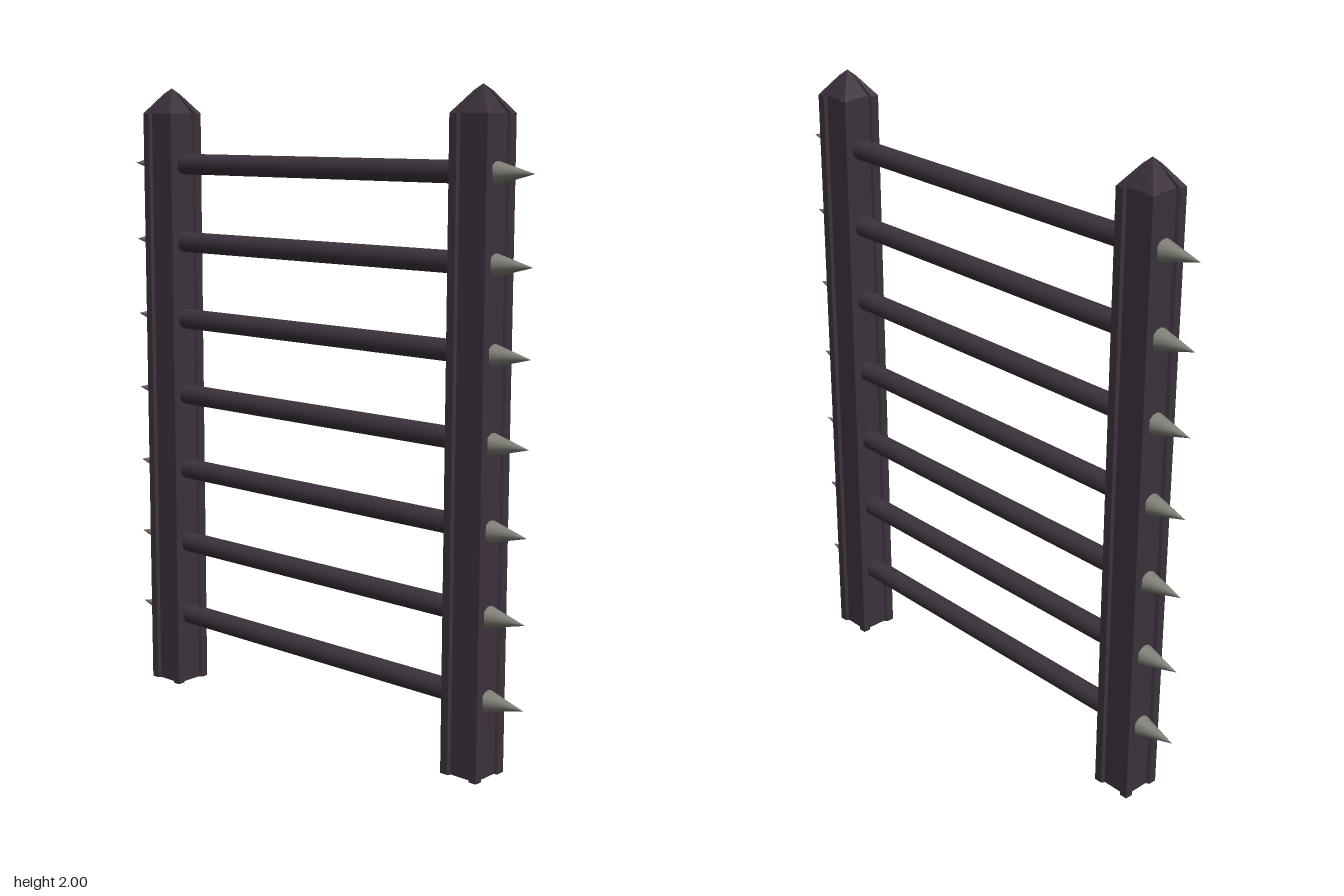
import * as THREE from 'three';

const darkWood = new THREE.MeshStandardMaterial({ color: 0x3c323c });
darkWood.name = 'darkWood';
const spikeMetal = new THREE.MeshStandardMaterial({ color: 0x7f7f76 });
spikeMetal.name = 'spikeMetal';

const HALF = 0.066, POST_Z = 0.637;

// Square outline with a shallow channel down the middle of every side
function grooveRing() {
  const side = [[HALF, -HALF], [HALF, -0.04], [0.055, -0.036], [0.055, 0.036], [HALF, 0.04]];
  const ring = [];
  for (let k = 0; k < 4; k++) {
    const c = Math.round(Math.cos(k * Math.PI / 2)), s = Math.round(Math.sin(k * Math.PI / 2));
    for (const [x, z] of side) ring.push([x * c - z * s, x * s + z * c]);
  }
  return ring;
}

// Loft the outline upwards and taper it into a blunt point
function postGeometry() {
  const ring = grooveRing(), n = ring.length;
  const levels = [[0, 0], [0, 1], [1.92, 1], [1.982, 0.28], [2, 0]]; // [height, scale]
  const pos = [];
  const put = (l, i) => {
    const [x, z] = ring[i % n], [y, s] = levels[l];
    pos.push(x * s, y, z * s);
  };
  for (let l = 0; l < levels.length - 1; l++) {
    for (let i = 0; i < n; i++) {
      if (levels[l][1] > 0) { put(l, i); put(l + 1, i); put(l, i + 1); }
      if (levels[l + 1][1] > 0) { put(l, i + 1); put(l + 1, i); put(l + 1, i + 1); }
    }
  }
  const g = new THREE.BufferGeometry();
  g.setAttribute('position', new THREE.Float32BufferAttribute(pos, 3));
  g.computeVertexNormals();
  return g;
}

export function createModel() {
  const model = new THREE.Group();
  model.name = 'spikedLadder';
  const add = (name, geometry, material, y, z) => {
    const mesh = new THREE.Mesh(geometry, material);
    mesh.name = name;
    mesh.position.set(0, y, z);
    model.add(mesh);
  };

  // Two upright posts
  const post = postGeometry();
  add('frontPost', post, darkWood, 0, POST_Z);
  add('backPost', post, darkWood, 0, -POST_Z);

  // Seven rungs, each ending in a spike outside both posts
  const rung = new THREE.CylinderGeometry(0.033, 0.033, 2 * POST_Z, 16).rotateX(Math.PI / 2);
  const spikeFront = new THREE.ConeGeometry(0.034, 0.13, 16).rotateX(Math.PI / 2);
  const spikeBack = spikeFront.clone().rotateY(Math.PI);
  for (let i = 0; i < 7; i++) {
    const y = 0.235 + i * 0.2537;
    add('rung' + (i + 1), rung, darkWood, y, 0);
    add('frontSpike' + (i + 1), spikeFront, spikeMetal, y, 0.753);
    add('backSpike' + (i + 1), spikeBack, spikeMetal, y, -0.753);
  }
  return model;
}
